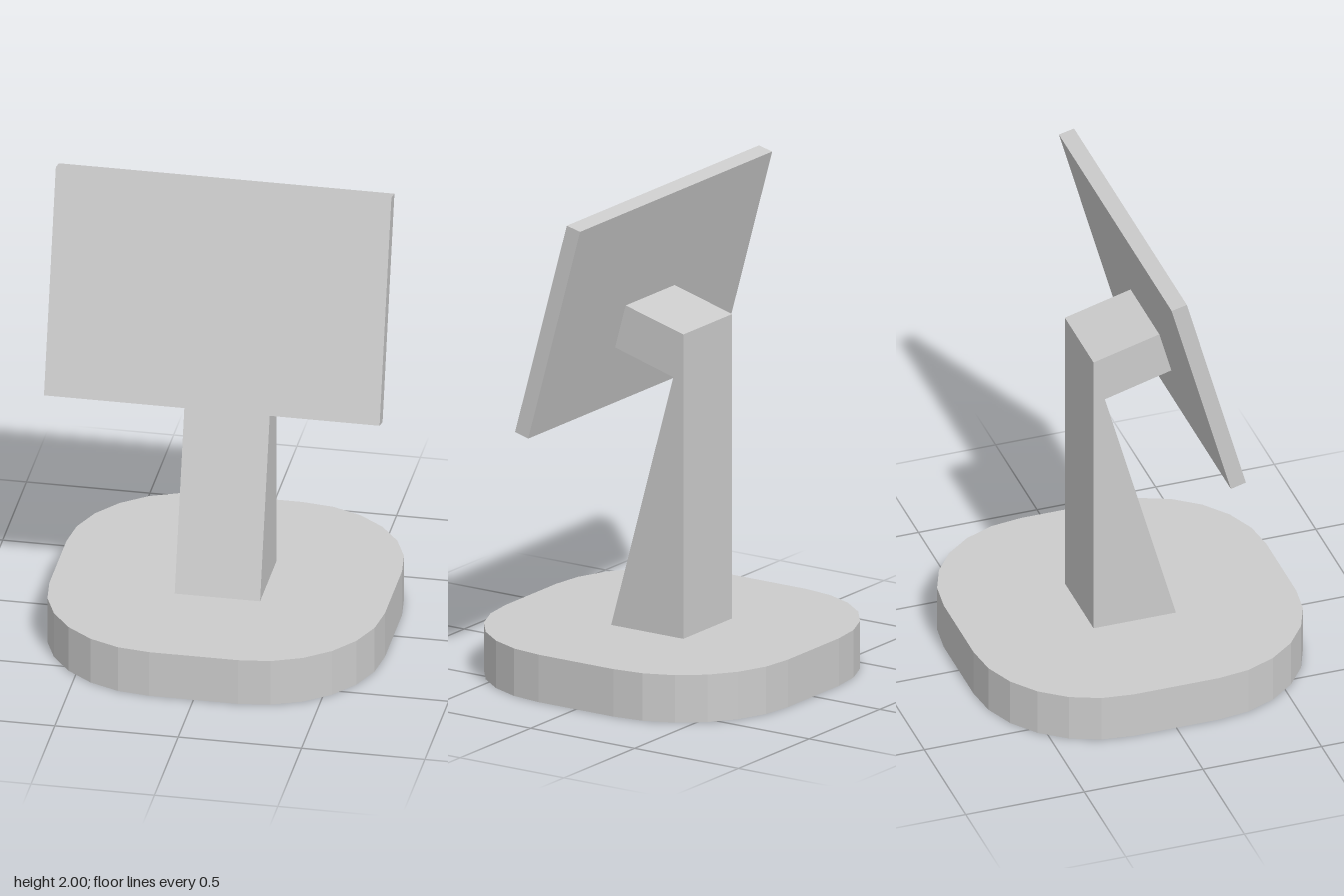
import * as THREE from 'three';

const material = new THREE.MeshStandardMaterial({ color: 0xcccccc, flatShading: true });

// Extrudes a side outline of [z, y] points across x, centred on x = 0.
function sidePart(name, outline, width) {
  const shape = new THREE.Shape(outline.map(([z, y]) => new THREE.Vector2(z, y)));
  const geometry = new THREE.ExtrudeGeometry(shape, { depth: width, bevelEnabled: false });
  geometry.translate(0, 0, -width / 2).rotateY(-Math.PI / 2);
  const mesh = new THREE.Mesh(geometry, material);
  mesh.name = name;
  return mesh;
}

// Square foot with large corners, each made of three facets.
function createBase() {
  const half = 0.68, radius = 0.5, height = 0.197, inner = half - radius;
  const shape = new THREE.Shape();
  [[1, 1], [-1, 1], [-1, -1], [1, -1]].forEach(([sx, sy], i) => {
    const start = i * Math.PI / 2;
    shape.absarc(sx * inner, sy * inner, radius, start, start + Math.PI / 2, false);
  });
  shape.closePath();
  const geometry = new THREE.ExtrudeGeometry(shape, { depth: height, bevelEnabled: false, curveSegments: 3 });
  geometry.rotateX(-Math.PI / 2);
  const mesh = new THREE.Mesh(geometry, material);
  mesh.name = 'base';
  return mesh;
}

export function createModel() {
  const group = new THREE.Group();
  group.name = 'displayStand';
  group.add(createBase());

  // Tapered column with the arm that reaches forward to the panel.
  group.add(sidePart('column', [
    [0.175, 0.197], [-0.172, 0.197], [-0.172, 1.46],
    [0.107, 1.535], [0.156, 1.352], [-0.124, 1.275],
  ], 0.346));

  // Thin panel leaning back.
  group.add(sidePart('screen', [
    [0.293, 1.102], [0.23, 1.085], [-0.02, 1.985], [0.044, 2.0],
  ], 1.36));

  return group;
}
